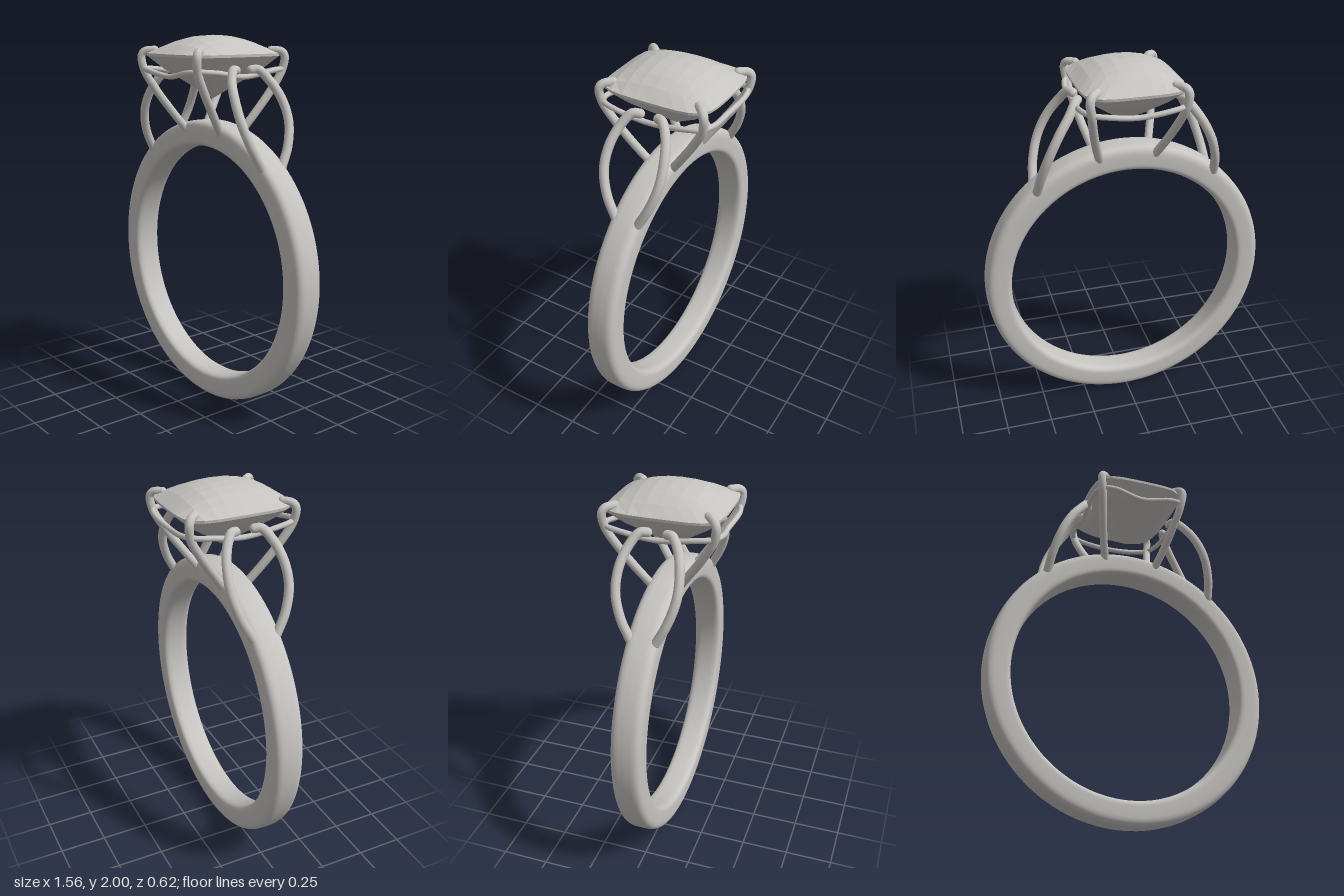
import * as THREE from 'three';

const metal = new THREE.MeshStandardMaterial({ color: 0xc6c4c0 });
metal.name = 'ring metal';
const gem = new THREE.MeshStandardMaterial({ color: 0xc6c4c0, flatShading: true, side: THREE.DoubleSide });
gem.name = 'gem stone';

const vec = (p) => new THREE.Vector3(...p);

// Round wire along a smooth curve, with domed ends when open
function wire(name, pts, radius, closed = false) {
  const group = new THREE.Group();
  group.name = name;
  const curve = new THREE.CatmullRomCurve3(pts.map(vec), closed);
  group.add(new THREE.Mesh(new THREE.TubeGeometry(curve, closed ? 128 : 48, radius, 14, closed), metal));
  if (!closed) {
    for (const p of [pts[0], pts[pts.length - 1]]) {
      const cap = new THREE.Mesh(new THREE.SphereGeometry(radius, 14, 10), metal);
      cap.position.set(...p);
      group.add(cap);
    }
  }
  return group;
}

// Band: softened rectangular section, slightly wider toward the top
function band() {
  const pow = (v, e) => Math.sign(v) * Math.abs(v) ** e;
  const profile = [];
  for (let i = 0; i <= 40; i++) {
    const a = (i / 40) * Math.PI * 2;
    const e = Math.cos(a) > 0 ? 0.6 : 0.4;
    profile.push(new THREE.Vector2(0.709 + 0.069 * pow(Math.cos(a), e), 0.08 * pow(Math.sin(a), 0.5)));
  }
  const geo = new THREE.LatheGeometry(profile, 128).rotateX(Math.PI / 2);
  const pos = geo.attributes.position;
  for (let i = 0; i < pos.count; i++) {
    pos.setZ(i, pos.getZ(i) * (1 + 0.08 * pos.getY(i)));
  }
  geo.translate(0, 0.778, 0);
  const mesh = new THREE.Mesh(geo, metal);
  mesh.name = 'band';
  return mesh;
}

// Cushion outline and dome: u and v run from -1 to 1 across the stone
function crownPoint(u, v) {
  return [
    0.265 * u * (1 - 0.14 * v ** 4 * u * u),
    1.907 + 0.093 * (1 - Math.abs(u) ** 2.3) * (1 - Math.abs(v) ** 2.3),
    0.302 * v * (1 - 0.12 * u ** 4 * v * v),
  ];
}

function stone() {
  const group = new THREE.Group();
  group.name = 'stone';

  // Crown: checkerboard dome
  const crown = new THREE.PlaneGeometry(2, 2, 8, 8).rotateX(-Math.PI / 2);
  const pos = crown.attributes.position;
  for (let i = 0; i < pos.count; i++) pos.setXYZ(i, ...crownPoint(pos.getX(i), pos.getZ(i)));
  const crownMesh = new THREE.Mesh(crown, gem);
  crownMesh.name = 'crown';
  group.add(crownMesh);

  // Pavilion: rings of the outline shrinking to the culet
  const rim = [];
  const n = 8;
  for (let side = 0; side < 4; side++) {
    for (let i = 0; i < n; i++) {
      const t = -1 + (2 * i) / n;
      rim.push([[t, 1], [1, -t], [-t, -1], [-1, t]][side]);
    }
  }
  const rings = [[1, 1.907], [0.995, 1.893], [0.74, 1.825], [0, 1.67]];
  const verts = [];
  const index = [];
  rings.forEach(([s, y], r) => rim.forEach(([u, v], i) => {
    const [x, , z] = crownPoint(u, v);
    verts.push(x * s, y, z * s);
    if (r === 0) return;
    const j = (i + 1) % rim.length;
    const a = (r - 1) * rim.length + i, b = (r - 1) * rim.length + j;
    const c = r * rim.length + i, d = r * rim.length + j;
    index.push(a, c, b);
    if (s > 0) index.push(b, c, d);
  }));
  const pavilion = new THREE.BufferGeometry();
  pavilion.setAttribute('position', new THREE.Float32BufferAttribute(verts, 3));
  pavilion.setIndex(index);
  pavilion.computeVertexNormals();
  const pavilionMesh = new THREE.Mesh(pavilion, gem);
  pavilionMesh.name = 'pavilion';
  group.add(pavilionMesh);
  return group;
}

export function createModel() {
  const ring = new THREE.Group();
  ring.name = 'ring';
  ring.add(band(), stone());

  const rail = [];
  for (const [sx, sz] of [[1, 1], [1, -1], [-1, -1], [-1, 1]]) {
    const m = ([x, y, z]) => [x * sx, y, z * sz];

    // Corner prong with a claw folded over the stone
    ring.add(wire('prong', [
      [0.15, 1.5, 0.068], [0.183, 1.6, 0.14], [0.215, 1.72, 0.222], [0.235, 1.82, 0.277],
      [0.243, 1.895, 0.286], [0.23, 1.916, 0.272], [0.195, 1.922, 0.236],
    ].map(m), 0.022));

    // Shoulder arch from the band to the rail
    ring.add(wire('shoulderArch', [
      [0.478, 1.36, 0.066], [0.462, 1.46, 0.118], [0.425, 1.58, 0.154], [0.37, 1.69, 0.152],
      [0.31, 1.775, 0.124], [0.268, 1.83, 0.082], [0.252, 1.828, 0.05],
    ].map(m), 0.024));

    // Rail corner, order reversed on alternate corners to keep the loop going
    const corner = [[0.17, 1.82, 0.296], [0.237, 1.826, 0.27], [0.266, 1.82, 0.18]].map(m);
    if (sx * sz < 0) corner.reverse();
    rail.push(...corner);
    rail.push(sx * sz > 0 ? [0.258 * sx, 1.795, 0] : [0, 1.795, 0.282 * sz]);
  }
  ring.add(wire('galleryRail', rail, 0.014, true));
  return ring;
}
